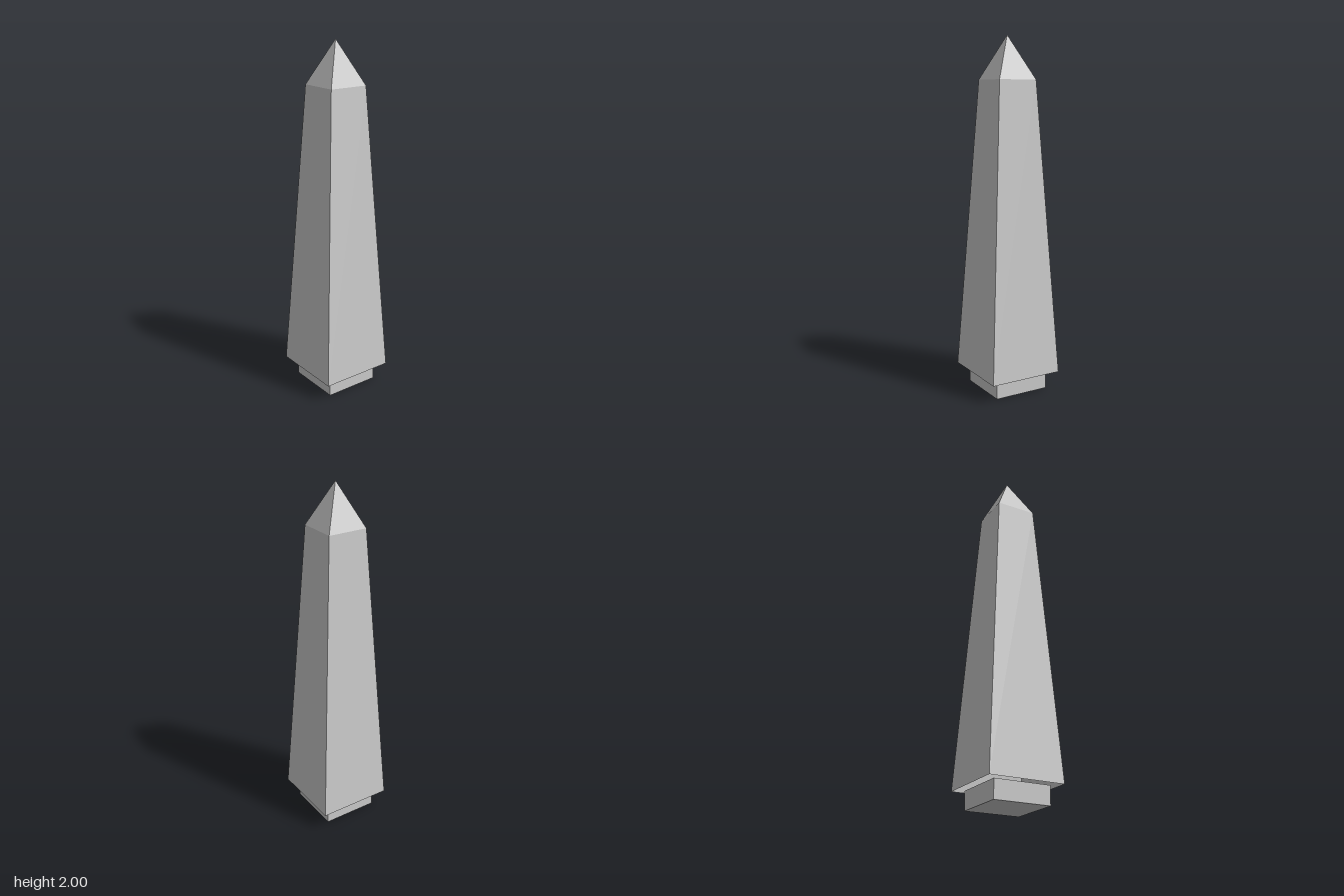
import * as THREE from 'three';

// Square tapered tube: half-widths at bottom and top, between two heights
function squareTaper(name, bottomHalf, topHalf, y0, y1, material) {
  const geometry = new THREE.CylinderGeometry(
    topHalf * Math.SQRT2, bottomHalf * Math.SQRT2, y1 - y0, 4, 1, true);
  geometry.rotateY(Math.PI / 4);
  geometry.translate(0, (y0 + y1) / 2, 0);
  const mesh = new THREE.Mesh(geometry, material);
  mesh.name = name;
  return mesh;
}

export function createModel() {
  const group = new THREE.Group();
  group.name = 'obelisk';

  const stone = new THREE.MeshStandardMaterial({
    color: 0xcccccc, flatShading: true, side: THREE.DoubleSide,
  });
  stone.name = 'pale stone';

  // Recessed foot block
  const plinth = new THREE.Mesh(new THREE.BoxGeometry(0.324, 0.105, 0.324), stone);
  plinth.name = 'plinth';
  plinth.position.y = 0.0525;

  // Hollow shaft, open underneath, with a pyramid tip
  group.add(
    plinth,
    squareTaper('shaft', 0.215, 0.115, 0.105, 1.76, stone),
    squareTaper('pyramidTip', 0.115, 0, 1.76, 2, stone),
  );
  return group;
}
